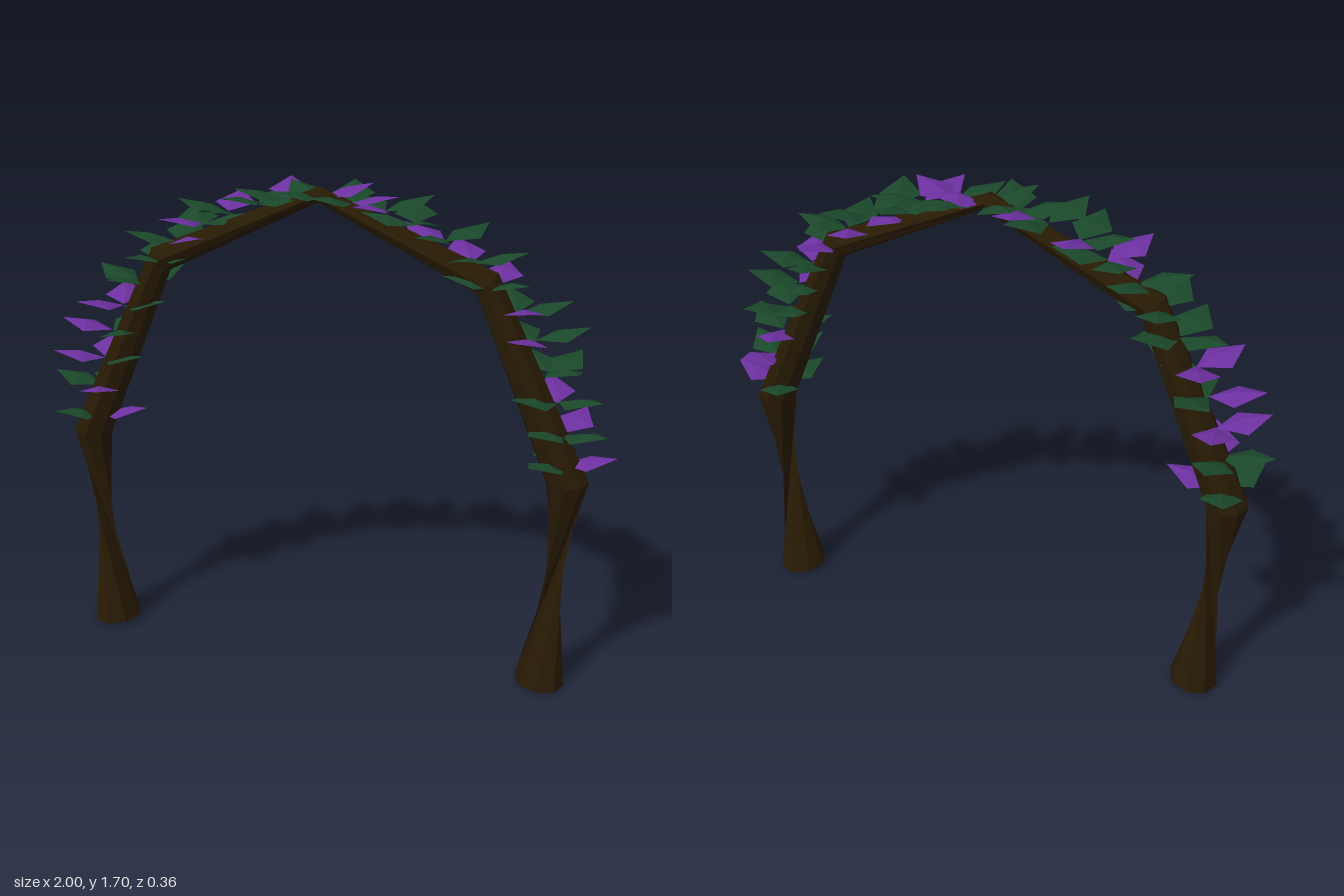
import * as THREE from 'three';

const mat = (name, color) => {
  const m = new THREE.MeshStandardMaterial({ color, flatShading: true, side: THREE.DoubleSide });
  m.name = name;
  return m;
};

// Octagonal cross-sections of half the arch: centre, outward tilt, radius in plane, radius in depth, twist
const SIDES = 8;
const SECTIONS = [
  { x: 0.805, y: 0.008, tilt: -0.09, r: 0.087, rz: 0.088, twist: Math.PI * 0.75 },
  { x: 0.855, y: 0.765, tilt: 0.14, r: 0.07, rz: 0.074, twist: 0 },
  { x: 0.56, y: 1.417, tilt: 0.82, r: 0.049, rz: 0.056, twist: 0 },
  { x: 0, y: 1.668, tilt: Math.PI / 2, r: 0.025, rz: 0.039, twist: 0 },
];

function halfArch(side) {
  const pos = [], idx = [];
  const tri = (a, b, c) => (side > 0 ? idx.push(a, b, c) : idx.push(a, c, b));
  for (const s of SECTIONS) {
    for (let i = 0; i < SIDES; i++) {
      const a = (i / SIDES) * Math.PI * 2 + s.twist;
      const d = Math.cos(a) * s.r;
      pos.push(side * (s.x + Math.cos(s.tilt) * d), s.y + Math.sin(s.tilt) * d, Math.sin(a) * s.rz);
    }
  }
  for (let k = 0; k < SECTIONS.length - 1; k++) {
    for (let i = 0; i < SIDES; i++) {
      const j = (i + 1) % SIDES;
      const a0 = k * SIDES + i, a1 = k * SIDES + j;
      tri(a1, a0, a0 + SIDES);
      tri(a1, a0 + SIDES, a1 + SIDES);
    }
  }
  for (let i = 1; i < SIDES - 1; i++) tri(0, i, i + 1); // foot cap
  const g = new THREE.BufferGeometry();
  g.setAttribute('position', new THREE.Float32BufferAttribute(pos, 3));
  g.setIndex(idx);
  g.computeVertexNormals();
  return g;
}

// Pointed leaf along +x with a rising tip, folded gently on its midrib
function leafGeometry() {
  const g = new THREE.BufferGeometry();
  g.setAttribute('position', new THREE.Float32BufferAttribute([
    0, -0.012, 0, 0.085, 0, 0.07, 0.178, 0.028, 0, 0.085, 0, -0.07, 0.09, 0.02, 0,
  ], 3));
  g.setIndex([0, 1, 4, 1, 2, 4, 2, 3, 4, 3, 0, 4]);
  g.computeVertexNormals();
  return g;
}

// Leaf whorls from right to left along the curve: heading in degrees (towards +z), g green or p purple
const WHORLS = [
  '0p 120g -118g', '-70p 120g 30g', '30g -105p 140g', '50g -130g -60g', '-20g 100p -130g',
  '70p -110g -20g', '-90p 50g 160g', '85g -118p -10g', '110g -50g -150p', '-103g 70g 170g',
  '110p -40g -140g', '-103g 20p 130g', '-30p 135g -140g', '-105p 60g 160g', '112g -60g 0g',
  '-95p 95g 180g', '120p -20g -120g', '-93g 45p 160g', '102g -105g 0g', '100g -160g -50g',
  '-110p 130p 10g', '170p -70g 50g', '-100p 150p 20g', '180g -90g 70p', '130g 0p -110g',
];

export function createModel() {
  const model = new THREE.Group();
  model.name = 'leafyArch';
  const bark = mat('dark bark', 0x281b04);
  const leafMats = { g: mat('leaf green', 0x1a472a), p: mat('leaf purple', 0x6c309f) };

  // Wooden arch, two mirrored halves
  const arch = new THREE.Group();
  arch.name = 'arch';
  arch.position.x = -0.01;
  for (const side of [1, -1]) {
    const half = new THREE.Mesh(halfArch(side), bark);
    half.name = side > 0 ? 'leftHalf' : 'rightHalf';
    arch.add(half);
  }
  model.add(arch);

  // Foliage in whorls of three along a half circle over the arch
  const foliage = new THREE.Group();
  foliage.name = 'foliage';
  const leafGeo = leafGeometry();
  WHORLS.forEach((whorl, k) => {
    const t = (Math.PI * k) / (WHORLS.length - 1);
    whorl.split(' ').forEach((code, n) => {
      const leaf = new THREE.Mesh(leafGeo, leafMats[code.slice(-1)]);
      leaf.name = 'leaf';
      leaf.position.set(0.826 * Math.cos(t) - 0.004, 0.838 + 0.828 * Math.sin(t) + (1 - n) * 0.004, 0);
      leaf.rotation.y = -THREE.MathUtils.degToRad(parseFloat(code));
      foliage.add(leaf);
    });
  });
  model.add(foliage);
  return model;
}
